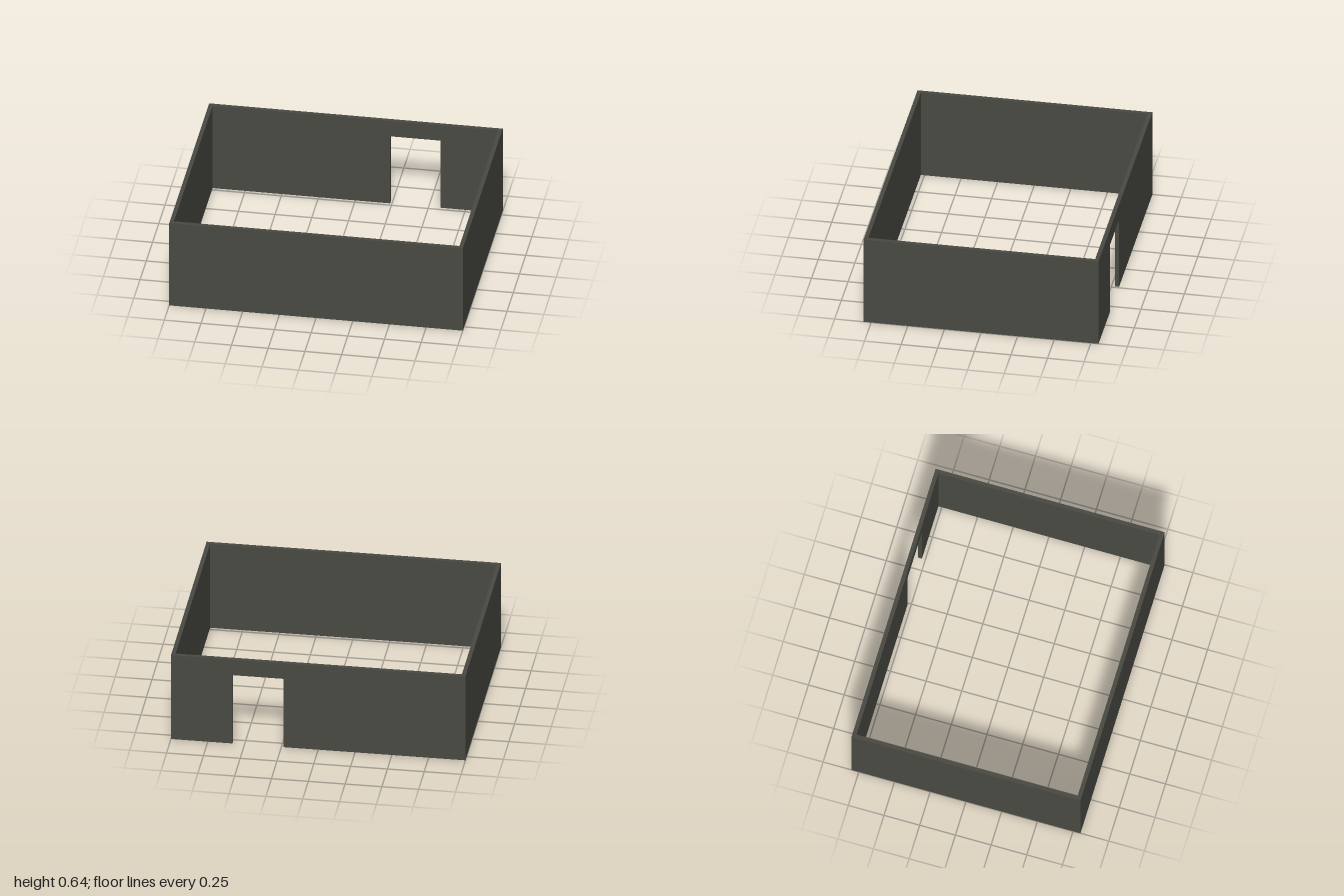
import * as THREE from 'three';

const W = 2, D = 1.604, H = 0.642, T = 0.028;
const DOOR = { x0: 0.237, x1: 0.582, top: 0.523 };

export function createModel() {
  const model = new THREE.Group();
  model.name = 'walledRoom';
  const wallMaterial = new THREE.MeshStandardMaterial({ color: 0x4a4a44 });
  wallMaterial.name = 'dark grey wall';

  const add = (name, geometry, x, y, z) => {
    const mesh = new THREE.Mesh(geometry, wallMaterial);
    mesh.name = name;
    mesh.position.set(x, y, z);
    model.add(mesh);
  };

  // Front wall spans the full width
  add('frontWall', new THREE.BoxGeometry(W, H, T), 0, H / 2, (D - T) / 2);

  // Side walls fit between the front and back walls
  for (const [name, side] of [['leftWall', 1], ['rightWall', -1]]) {
    add(name, new THREE.BoxGeometry(T, H, D - 2 * T), side * (W - T) / 2, H / 2, 0);
  }

  // Back wall outline, notched by a doorway that reaches the ground
  const outline = new THREE.Shape([
    [-W / 2, 0], [DOOR.x0, 0], [DOOR.x0, DOOR.top], [DOOR.x1, DOOR.top],
    [DOOR.x1, 0], [W / 2, 0], [W / 2, H], [-W / 2, H],
  ].map(([x, y]) => new THREE.Vector2(x, y)));
  add('backWallWithDoorway',
    new THREE.ExtrudeGeometry(outline, { depth: T, bevelEnabled: false }), 0, 0, -D / 2);

  return model;
}
